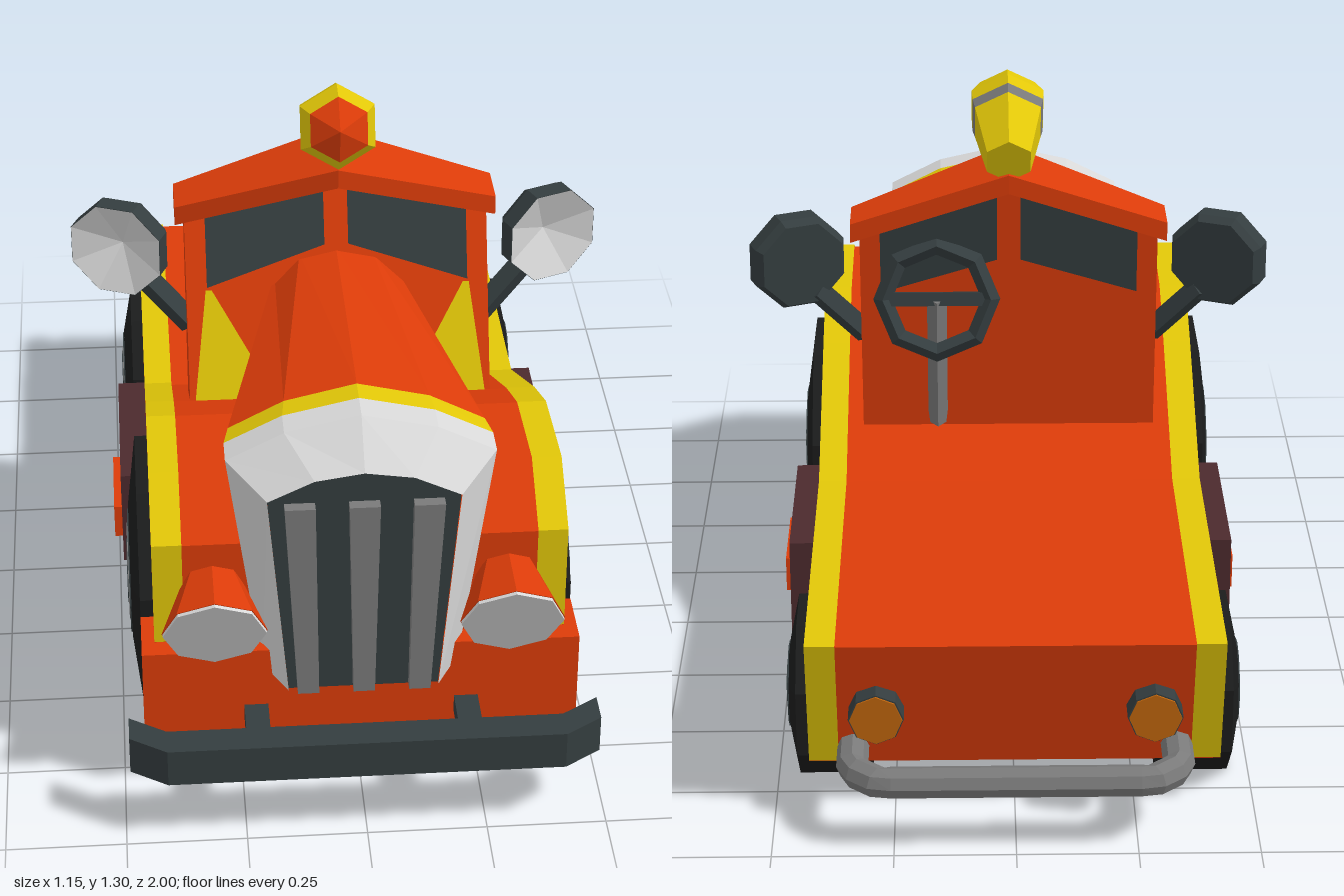
import * as THREE from 'three';

const mat = (name, color) => new THREE.MeshStandardMaterial({ name, color, side: THREE.DoubleSide });

export function createModel() {
  const root = new THREE.Group();
  root.name = 'openTruck';
  const orange = mat('orange paint', 0xdc3c09), yellow = mat('yellow paint', 0xe2c708);
  const dark = mat('dark metal', 0x343d3f), tyre = mat('tyre rubber', 0x1b1c1c);
  const brown = mat('brown tank', 0x4c2a2d), chrome = mat('chrome', 0xd8d8d8);
  const gray = mat('gray metal', 0x7a7a7a), amber = mat('amber lens', 0xbd640c);

  // Adds a faceted mesh
  function add(name, geo, material, pos = [0, 0, 0], rot = [0, 0, 0], parent = root) {
    const g = geo.index ? geo.toNonIndexed() : geo;
    g.computeVertexNormals();
    const m = new THREE.Mesh(g, material);
    m.name = name;
    m.position.set(...pos);
    m.rotation.set(...rot);
    parent.add(m);
    return m;
  }
  const box = (name, m, w, h, d, pos, rot) => add(name, new THREE.BoxGeometry(w, h, d), m, pos, rot);
  const lathe = (pts, sides, start = 0) => new THREE.LatheGeometry(pts.map(p => new THREE.Vector2(...p)), sides, start);

  // Skin between matching cross-sections, optionally closed around and capped
  function loft(rows, closed = false, caps = false) {
    const n = rows[0].length, idx = [];
    for (let i = 0; i < rows.length - 1; i++)
      for (let j = 0; j < (closed ? n : n - 1); j++) {
        const k = (j + 1) % n, a = i * n + j, b = i * n + k, c = a + n, d = b + n;
        idx.push(a, b, d, a, d, c);
      }
    if (caps) for (let j = 1; j < n - 1; j++) {
      const e = (rows.length - 1) * n;
      idx.push(0, j + 1, j, e, e + j, e + j + 1);
    }
    const g = new THREE.BufferGeometry();
    g.setAttribute('position', new THREE.Float32BufferAttribute(rows.flat(2), 3));
    g.setIndex(idx);
    return g;
  }

  // Side outline (z, y) pulled across the width from x0 to x1
  function slab(pts, x0, x1) {
    const shape = new THREE.Shape(pts.map(p => new THREE.Vector2(...p)));
    return new THREE.ExtrudeGeometry(shape, { depth: x1 - x0, bevelEnabled: false })
      .rotateY(-Math.PI / 2).translate(x1, 0, 0);
  }

  function rod(name, a, b, r, material) {
    const A = new THREE.Vector3(...a), B = new THREE.Vector3(...b), d = B.clone().sub(A);
    const m = add(name, new THREE.CylinderGeometry(r, r, d.length(), 4), material);
    m.position.copy(A).add(B).multiplyScalar(0.5);
    m.quaternion.setFromUnitVectors(new THREE.Vector3(0, 1, 0), d.normalize());
  }

  // Body: side walls reach lower than the hollow middle
  const topLine = [[0.78, 0.35], [0.78, 0.59], [0.65, 0.685], [0.41, 0.67], [0.24, 0.6], [-0.12, 0.42], [-0.885, 0.42], [-0.81, 0.11]];
  const arch = [[0.14, 0.395], [0.29, 0.56], [0.53, 0.56], [0.683, 0.4], [0.683, 0.35]];
  add('bodyMiddle', slab([...topLine, [-0.77, 0.11], [-0.8, 0.36], [0.135, 0.36], ...arch], -0.37, 0.37), orange);
  for (const s of [-1, 1]) {
    const x = s * 0.366, X = s * 0.428;
    add('bodySide', slab([...topLine, [0.135, 0.11], ...arch], Math.min(x, X), Math.max(x, X)), orange);
    add('edgeStripe', loft(topLine.map(([z, y]) => {
      const Z = z + Math.sign(z) * 0.004;
      return [[x, y + 0.004, Z], [X, y + 0.004, Z]];
    })), yellow);
  }
  box('frontApron', orange, 0.91, 0.205, 0.135, [0, 0.248, 0.757]);

  // Hood: tapers toward the cab
  const half = [[0.205, 0.29], [0.274, 0.8], [0.155, 0.86], [0, 0.895]];
  const rear = [[0.125, 0.5], [0.135, 0.83], [0.08, 0.88], [0, 0.895]];
  const lip = [[0.155, 0.287], [0.195, 0.755], [0.1, 0.8], [0, 0.815]];
  const mirror = (pts, z, sx = 1, low = 0) => [
    ...pts.map(([x, y]) => [-x * sx, Math.max(y, low), z]),
    ...pts.slice(0, -1).reverse().map(([x, y]) => [x * sx, Math.max(y, low), z])];
  add('hood', loft([mirror(rear, 0.1), mirror(half, 0.67, 0.96, 0.5)]), orange);
  add('hoodStripe', loft([mirror(half, 0.67, 0.96), mirror(half, 0.725)]), yellow);
  add('grilleSurround', loft([mirror(half, 0.725), mirror(half, 0.79), mirror(lip, 0.88)]), chrome);
  const grille = new THREE.Shape(mirror(lip, 0).map(p => new THREE.Vector2(p[0], p[1])));
  add('grille', new THREE.ShapeGeometry(grille), dark, [0, 0, 0.872]);
  for (const i of [-1, 0, 1]) {
    const ring = (c, w, y) => [[c - w, y, 0.865], [c - w, y, 0.897], [c + w, y, 0.897], [c + w, y, 0.865]];
    add('grilleBar', loft([ring(i * 0.115, 0.022, 0.29), ring(i * 0.13, 0.031, 0.745)], true, true), gray);
  }

  // Cab with a sloping windscreen
  const front = (x, y) => 0.3 - 0.41 * (y - 0.45);
  const back = (x, y) => 0.03 - 0.08 * Math.max(0, y - 0.49);
  const cabRing = (y, rise) => [
    ...[-0.33, 0, 0.33].map(x => [x, x ? y : y + rise, front(x, x ? y : y + rise)]),
    ...[0.33, 0, -0.33].map(x => [x, x ? y : y + rise, back(x, x ? y : y + rise)])];
  add('cab', loft([cabRing(0.45, 0), cabRing(0.97, 0.11)], true, true), orange);
  const panel = (pts, f, off) => {
    const p = pts.map(([x, y]) => [x, y, f(x, y) + off]);
    return loft([[p[0], p[1]], [p[3], p[2]]]);
  };
  for (const s of [-1, 1]) {
    const pane = [[0.026, 0.91], [0.285, 0.83], [0.285, 0.975], [0.026, 1.065]].map(([x, y]) => [s * x, y]);
    add('windscreen', panel(pane, front, 0.004), dark);
    add('rearWindow', panel(pane, back, -0.004), dark);
    const trim = [[0.14, 0.6], [0.318, 0.6], [0.288, 0.825], [0.275, 0.825]].map(([x, y]) => [s * x, y]);
    add('cabTrim', panel(trim, front, 0.004), yellow);
  }
  const roofRing = (x, y, z0, z1) => [[x, y - 0.043, z0], [x, y, z0], [x, y, z1], [x, y - 0.043, z1]];
  add('roof', loft([roofRing(-0.35, 1.0, -0.02, 0.09), roofRing(0, 1.118, -0.035, 0.168), roofRing(0.35, 1.0, -0.02, 0.09)], true, true), orange);

  // Beacon, six-sided and tilted nose up
  const beacon = new THREE.Group();
  beacon.name = 'beacon';
  beacon.position.set(0, 1.15, -0.035);
  beacon.rotation.x = Math.PI / 2 - 0.33;
  root.add(beacon);
  const turn = (name, pts, m) => add(name, lathe(pts, 6), m, [0, 0, 0], [0, 0, 0], beacon);
  turn('beaconRear', [[0, 0], [0.055, 0], [0.084, 0.14]], yellow);
  turn('beaconBand', [[0.084, 0.14], [0.09, 0.165]], gray);
  turn('beaconFront', [[0.09, 0.165], [0.092, 0.195], [0.07, 0.24]], yellow);
  turn('beaconLamp', [[0.07, 0.24], [0, 0.28]], orange);

  // Steering wheel and column
  add('steeringRim', new THREE.TorusGeometry(0.12, 0.021, 4, 8), dark, [0.16, 0.83, -0.04], [0.25, 0, 0]);
  box('steeringSpoke', dark, 0.23, 0.03, 0.015, [0.16, 0.83, -0.04], [0.25, 0, 0]);
  rod('steeringColumn', [0.16, 0.83, -0.035], [0.16, 0.5, 0.03], 0.022, gray);

  // Wheels: eight flat sides with layered hubs
  function wheel(name, s, y, z, hubs) {
    const g = new THREE.Group();
    g.name = name;
    g.position.set(s * 0.38, y, z);
    g.rotation.z = -s * Math.PI / 2;
    root.add(g);
    const R = y / Math.cos(Math.PI / 8);
    add('tyre', lathe([[0, -0.08], [R, -0.08], [R, 0.075], [R * 0.5, 0.094], [0, 0.094]], 8, Math.PI / 8), tyre, [0, 0, 0], [0, 0, 0], g);
    hubs.forEach(([r, m], i) => add('hub', new THREE.CylinderGeometry(r, r, 0.006, 12), m, [0, 0.094 + i * 0.002, 0], [0, 0, 0], g));
  }

  for (const s of [-1, 1]) {
    wheel('frontWheel', s, 0.275, 0.41, [[0.135, dark], [0.105, gray], [0.07, dark]]);
    wheel('rearWheel', s, 0.177, -0.6, [[0.09, dark], [0.055, gray], [0.045, dark]]);

    // Headlight, tipped slightly down
    const lamp = new THREE.Group();
    lamp.name = 'headlight';
    lamp.position.set(s * 0.305, 0.445, 0.882);
    lamp.rotation.x = Math.PI / 2 + 0.39;
    root.add(lamp);
    add('headlightShell', new THREE.CylinderGeometry(0.108, 0.062, 0.12, 8), orange, [0, -0.06, 0], [0, 0, 0], lamp);
    add('headlightLens', new THREE.CylinderGeometry(0.106, 0.106, 0.008, 8), chrome, [0, 0.003, 0], [0, 0, 0], lamp);

    // Side spotlight: dished reflector in a dark shell, on its arm
    const spot = new THREE.Group();
    spot.name = 'spotlight';
    spot.position.set(s * 0.47, 0.89, 0.05);
    spot.rotation.set(Math.PI / 2, 0, -s * 0.39);
    root.add(spot);
    const o = Math.PI / 8;
    add('spotlightShell', lathe([[0, -0.035], [0.1, -0.035], [0.112, -0.015], [0.112, 0.028]], 8, o), dark, [0, 0, 0], [0, 0, 0], spot);
    add('spotlightReflector', lathe([[0, -0.015], [0.111, 0.0285]], 8, o), chrome, [0, 0, 0], [0, 0, 0], spot);
    rod('spotlightArm', [s * 0.32, 0.7, 0.075], [s * 0.43, 0.82, 0.045], 0.028, dark);

    // Rear lights, tank plates and bumper brackets
    add('rearLightShell', new THREE.CylinderGeometry(0.057, 0.057, 0.08, 8), dark, [s * 0.285, 0.26, -0.86], [Math.PI / 2, 0, 0]);
    add('rearLightLens', new THREE.CylinderGeometry(0.054, 0.054, 0.006, 8), amber, [s * 0.285, 0.26, -0.901], [Math.PI / 2, 0, 0]);
    box('tankPlate', orange, 0.03, 0.08, 0.21, [s * 0.493, 0.187, -0.015]);
    box('tankEnd', brown, 0.12, 0.23, 0.4, [s * 0.43, 0.225, -0.065]);
    box('bumperBracket', dark, 0.05, 0.04, 0.13, [s * 0.22, 0.192, 0.88]);
  }

  // Tank walls across the chassis around an open underside
  box('tankFront', brown, 0.74, 0.23, 0.02, [0, 0.225, 0.125]);
  box('tankRear', brown, 0.74, 0.23, 0.02, [0, 0.225, -0.255]);
  box('tankLining', orange, 0.74, 0.22, 0.02, [0, 0.23, 0.105]);
  box('tankCeiling', orange, 0.74, 0.14, 0.36, [0, 0.27, -0.065]);
  box('tankBeam', orange, 0.74, 0.06, 0.05, [0, 0.17, -0.06]);

  // Front bumper with swept ends
  const bumperRing = (x, z) => [[x, 0.15, z - 0.068], [x, 0.235, z - 0.068], [x, 0.235, z], [x, 0.15, z]];
  add('frontBumper', loft([bumperRing(-0.487, 0.95), bumperRing(-0.41, 1), bumperRing(0.41, 1), bumperRing(0.487, 0.95)], true, true), dark);

  // Rear bumper tube
  const path = new THREE.CurvePath();
  const pts = [[-0.335, -0.82], [-0.335, -0.92], [-0.28, -0.967], [0.28, -0.967], [0.335, -0.92], [0.335, -0.82]]
    .map(([x, z]) => new THREE.Vector3(x, 0.153, z));
  for (let i = 0; i < pts.length - 1; i++) path.add(new THREE.LineCurve3(pts[i], pts[i + 1]));
  add('rearBumper', new THREE.TubeGeometry(path, 32, 0.033, 8), gray);

  return root;
}
